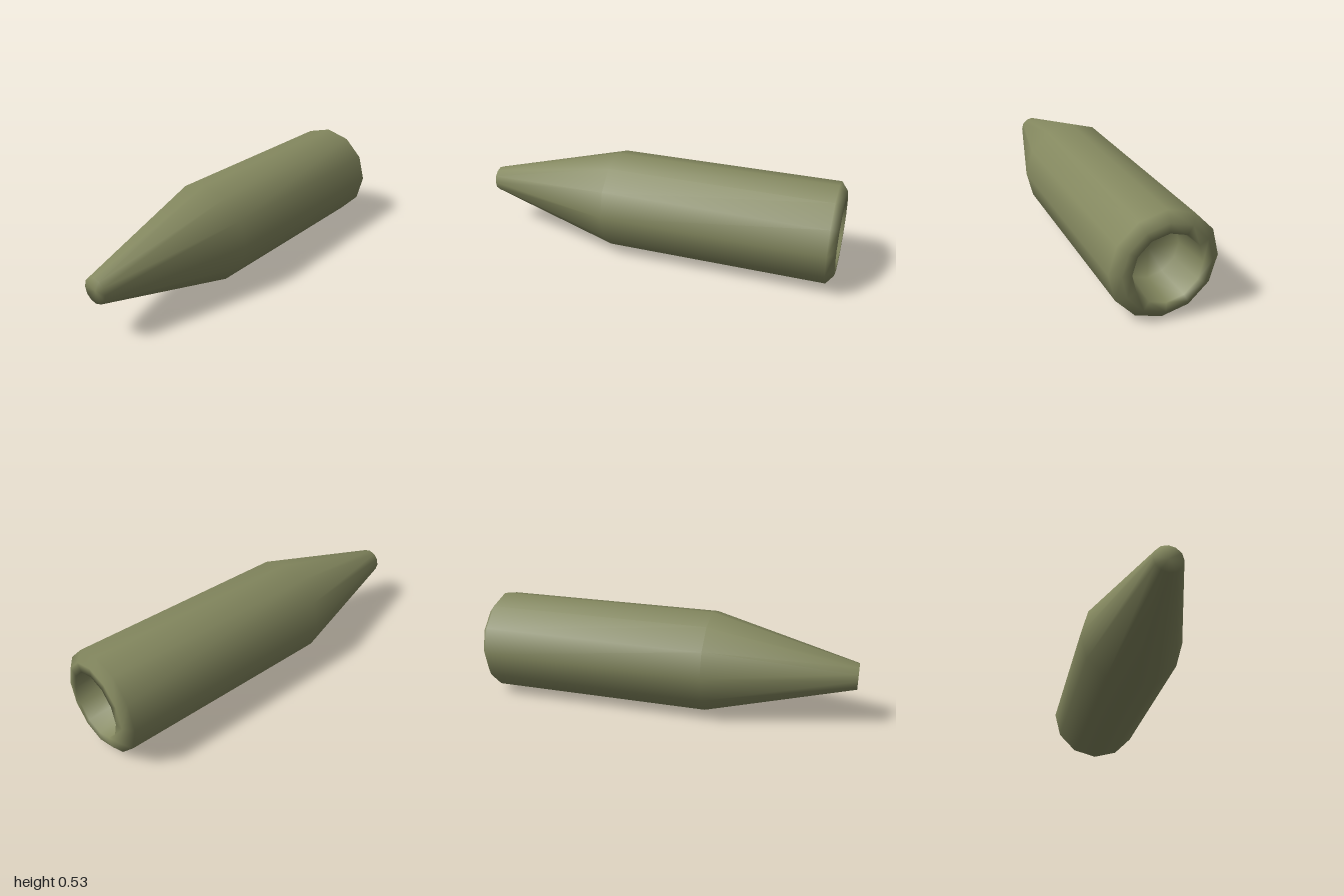
import * as THREE from 'three';

export function createModel() {
  const model = new THREE.Group();
  model.name = 'bullet';

  // Profile along the axis: [radius, distance], from the base hollow to the blunt nose
  const profile = [
    [0, -0.78], [0.155, -0.78], [0.17, -0.977], // hollow in the base
    [0.218, -0.977], [0.265, -0.94],            // rim and bevel
    [0.265, 0.245],                             // shoulder
    [0.0675, 0.999], [0, 0.999],                // tapered nose with flat tip
  ].map(([r, d]) => new THREE.Vector2(r, d));

  // Twelve-sided smooth turned body, laid down with the nose to the front
  const geometry = new THREE.LatheGeometry(profile, 12);
  geometry.rotateX(Math.PI / 2);

  const body = new THREE.Mesh(
    geometry,
    new THREE.MeshStandardMaterial({ color: 0x84885f })
  );
  body.name = 'bulletBody';
  body.rotation.y = -THREE.MathUtils.degToRad(9);
  body.position.set(-0.055, 0.265, 0);
  model.add(body);

  return model;
}
